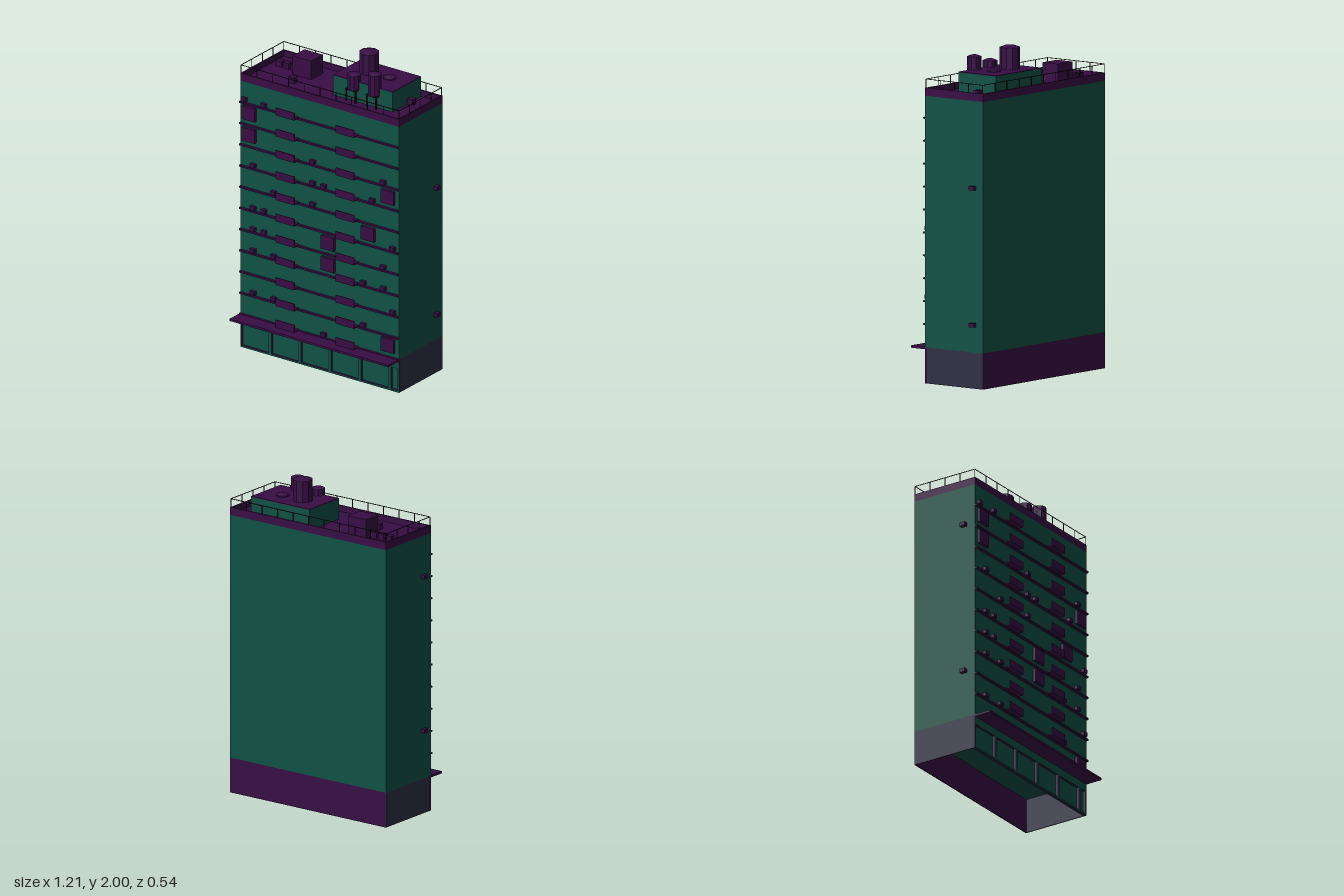
import * as THREE from 'three';

const material = (name, color) => {
  const m = new THREE.MeshStandardMaterial({ color });
  m.name = name;
  return m;
};

export function createModel() {
  const green = material('green wall', 0x105245);
  const purple = material('purple trim', 0x390d45);
  const slate = material('slate wall', 0x2f2f45);
  const iron = material('dark iron', 0x160c12);
  const model = new THREE.Group();

  const add = (name, geometry, mat, x = 0, y = 0, z = 0, parent = model) => {
    const mesh = new THREE.Mesh(geometry, mat);
    mesh.name = name;
    mesh.position.set(x, y, z);
    parent.add(mesh);
    return mesh;
  };
  // Box given by its lower and upper limits on each axis
  const box = (name, mat, [x0, x1], [y0, y1], [z0, z1], parent = model) =>
    add(name, new THREE.BoxGeometry(x1 - x0, y1 - y0, z1 - z0), mat,
      (x0 + x1) / 2, (y0 + y1) / 2, (z0 + z1) / 2, parent);
  const group = (name) => {
    const g = new THREE.Group();
    g.name = name;
    model.add(g);
    return g;
  };

  const W = 0.58, BACK = -0.27, FRONT = 0.165, BASE = 0.215, ROOF = 1.715;

  // Main tower
  box('tower', green, [-W, W], [BASE, ROOF], [BACK, FRONT]);

  // Ground floor, open underneath
  const ground = group('groundFloor');
  for (const s of [-1, 1]) {
    const x = s * (W - 0.003);
    box('sideWall', slate, [x - 0.003, x + 0.003], [0, BASE], [BACK, FRONT - 0.015], ground);
  }
  box('backWall', purple, [-W + 0.006, W - 0.006], [0, BASE], [BACK, BACK + 0.006], ground);
  box('shopGlass', green, [-W + 0.006, W - 0.006], [0, BASE], [FRONT - 0.02, FRONT - 0.015], ground);

  // Shop front with window openings
  const front = new THREE.Shape();
  front.moveTo(-W, 0).lineTo(W, 0).lineTo(W, BASE).lineTo(-W, BASE).closePath();
  for (let i = 0; i < 6; i++) {
    const a = -0.572 + i * 0.2185, b = Math.min(a + 0.197, 0.566);
    const hole = new THREE.Path();
    hole.moveTo(a, 0.01).lineTo(a, 0.153).lineTo(b, 0.153).lineTo(b, 0.01).closePath();
    front.holes.push(hole);
  }
  add('shopFront', new THREE.ExtrudeGeometry(front, { depth: 0.015, bevelEnabled: false }),
    [green, purple], 0, 0, FRONT - 0.015, ground);
  box('awning', purple, [-W, W], [0.203, 0.217], [FRONT, 0.272]);

  // Floors: ledge, two balconies and small air units (x positions per floor, bottom up)
  const airUnits = [
    [0.035], [-0.48, -0.33, 0.325], [0.54], [-0.48, -0.33, 0.325, 0.47],
    [-0.48, -0.4, 0.47], [-0.48, -0.4, 0.54], [-0.33, -0.045],
    [-0.48, -0.045, 0.035, 0.39], [-0.045, 0.47], [], [-0.545, -0.4],
  ];
  airUnits.forEach((units, i) => {
    const y = 0.215 + i * 0.1367;
    const floor = group('floor' + (i + 1));
    box('ledge', purple, [-W, W], [y - 0.005, y + 0.005], [FRONT, 0.18], floor);
    for (const x of [-0.218, 0.218]) {
      const span = [x - 0.068, x + 0.068];
      box('balconySlab', purple, span, [y + 0.002, y + 0.009], [FRONT, 0.214], floor);
      box('balconyFront', purple, span, [y + 0.002, y + 0.05], [0.208, 0.214], floor);
    }
    for (const x of units)
      box('airUnit', purple, [x - 0.017, x + 0.017], [y + 0.012, y + 0.036], [FRONT, 0.187], floor);
  });

  // Square panels on the front
  for (const [x, y] of [[-0.51, 1.523], [-0.51, 1.385], [0.505, 1.247], [0.36, 0.973],
    [0.068, 0.838], [0.068, 0.7], [0.505, 0.293]])
    box('frontPanel', purple, [x - 0.047, x + 0.047], [y - 0.043, y + 0.043], [FRONT, 0.183]);

  // Air units on the side walls
  for (const [s, y, z] of [[-1, 1.468, 0.088], [-1, 0.515, 0.088], [1, 1.197, -0.2], [1, 0.38, -0.2]])
    add('sideAirUnit', new THREE.BoxGeometry(0.025, 0.024, 0.035), purple, s * (W + 0.0125), y, z);

  // Roof floor and parapet
  const TOP = 1.763, DECK = 1.725;
  box('roofDeck', purple, [-W, W], [ROOF, DECK], [BACK, FRONT]);
  for (const s of [-1, 1]) {
    const x = s * (W - 0.005);
    box('parapetSide', purple, [x - 0.005, x + 0.005], [DECK, TOP], [BACK, FRONT]);
  }
  for (const z of [BACK, FRONT - 0.01])
    box('parapetLong', purple, [-W + 0.01, W - 0.01], [DECK, TOP], [z, z + 0.01]);

  // Roof railing
  const railing = group('railing');
  const t = 0.0018, RX = 0.577, RZ0 = -0.267, RZ1 = 0.161, RY = 1.815;
  const post = (x, z) => box('post', iron, [x - t, x + t], [TOP, RY], [z - t, z + t], railing);
  for (const z of [RZ0, RZ1]) {
    box('railLong', iron, [-RX, RX], [RY - t, RY + t], [z - t, z + t], railing);
    for (let i = 0; i <= 10; i++) post(-RX + i * RX / 5, z);
  }
  for (const x of [-RX, RX]) {
    box('railShort', iron, [x - t, x + t], [RY - t, RY + t], [RZ0, RZ1], railing);
    for (let i = 1; i < 4; i++) post(x, RZ0 + i * (RZ1 - RZ0) / 4);
  }

  // Penthouse, stair box and small roof units
  box('penthouse', green, [0, 0.435], [DECK, 1.85], [-0.255, 0.03]);
  box('penthouseRoof', purple, [0, 0.435], [1.85, 1.855], [-0.255, 0.03]);
  box('roofBox', purple, [-0.37, -0.235], [DECK, 1.845], [-0.19, -0.072]);
  for (const [x, z] of [[-0.505, -0.133], [-0.451, -0.133], [-0.397, -0.133], [-0.302, 0.018], [0.453, -0.133]])
    box('roofUnit', purple, [x - 0.021, x + 0.021], [DECK, 1.761], [z - 0.018, z + 0.018]);

  // Water tanks with shallow conical lids
  const tank = (name, x, z, r, y0, y1, lid) => {
    const profile = [[0, y0], [r, y0], [r, y1 - lid], [r * 0.5, y1 - lid * 0.3], [0, y1]]
      .map(([a, b]) => new THREE.Vector2(a, b));
    const geometry = new THREE.LatheGeometry(profile, 10).toNonIndexed();
    geometry.computeVertexNormals();
    add(name, geometry, purple, x, 0, z);
  };
  tank('largeTank', 0.147, -0.13, 0.06, 1.855, 2, 0.015);
  tank('lowTank', 0.297, -0.13, 0.042, 1.855, 1.875, 0.013);
  for (const [x, top] of [[0.147, 1.905], [0.297, 1.945]]) {
    tank('raisedTank', x, 0.02, 0.043, 1.803, top, 0.012);
    box('tankPlatform', iron, [x - 0.038, x + 0.038], [1.797, 1.803], [-0.018, 0.058]);
    for (const sx of [-1, 1]) for (const sz of [-1, 1])
      add('tankLeg', new THREE.BoxGeometry(0.007, 0.074, 0.007), iron, x + sx * 0.034, 1.761, 0.02 + sz * 0.034);
  }
  return model;
}
